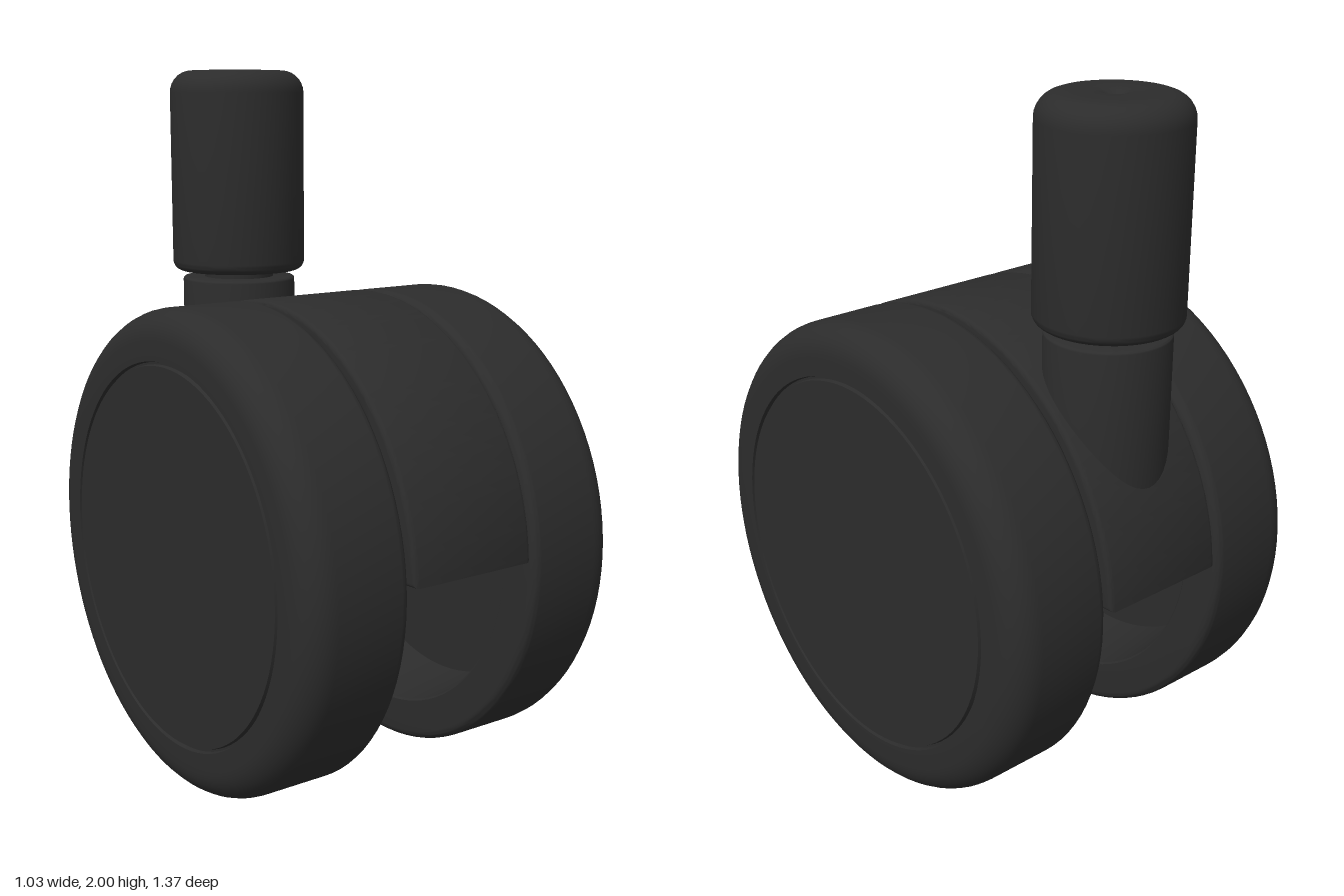
import * as THREE from 'three';
import { toCreasedNormals } from 'three/addons/utils/BufferGeometryUtils.js';

const AXLE_Y = 0.685, R = 0.683, STEM_Z = -0.44;

// points of a quarter-round corner, angles in degrees
function corner(cx, cy, r, from, to, steps = 7) {
  const pts = [];
  for (let i = 0; i <= steps; i++) {
    const a = THREE.MathUtils.degToRad(from + (to - from) * i / steps);
    pts.push([cx + r * Math.cos(a), cy + r * Math.sin(a)]);
  }
  return pts;
}

function lathe(points, segments) {
  const profile = points.map(([x, y]) => new THREE.Vector2(Math.max(x, 0), y));
  return toCreasedNormals(new THREE.LatheGeometry(profile, segments), 0.6);
}

// side profile (z, y) extruded across the width, centred on x = 0
function across(shape, width, bevel) {
  const depth = width - 2 * bevel;
  const geo = new THREE.ExtrudeGeometry(shape, {
    depth, bevelEnabled: bevel > 0, bevelSize: bevel, bevelThickness: bevel,
    bevelOffset: -bevel, bevelSegments: 3, curveSegments: 64
  });
  geo.translate(0, 0, -depth / 2);
  geo.rotateY(-Math.PI / 2);
  return toCreasedNormals(geo, 0.6);
}

export function createModel() {
  const group = new THREE.Group();
  const black = new THREE.MeshStandardMaterial({ color: 0x2c2c2c });
  black.name = 'black plastic';

  function add(name, geo, y, z = 0) {
    const mesh = new THREE.Mesh(geo, black);
    mesh.name = name;
    mesh.position.set(0, y, z);
    group.add(mesh);
    return mesh;
  }

  // wheels: hollow inside, rounded tread, grooved hub cap outside
  const wheelGeo = lathe([
    [0, 0.45], [0.53, 0.45], [0.56, 0.215],
    [0.565, 0.21],
    ...corner(R - 0.025, 0.235, 0.025, -90, 0),
    ...corner(R - 0.085, 0.43, 0.085, 0, 90),
    [0.542, 0.515], [0.539, 0.503], [0.533, 0.503], [0.53, 0.515], [0, 0.515]
  ], 96);
  for (const side of [1, -1]) {
    const wheel = add(side > 0 ? 'leftWheel' : 'rightWheel', wheelGeo, AXLE_Y);
    wheel.rotation.z = -side * Math.PI / 2;
  }

  // curved hood over the upper half of the wheels
  const hood = new THREE.Shape();
  const start = Math.asin(0.035 / R);
  hood.absarc(0, 0, R, start, Math.PI - start, false);
  hood.absarc(0, 0, R - 0.07, Math.PI - start, start, true);
  hood.closePath();
  add('hood', across(hood, 0.39, 0.012), AXLE_Y);

  // axle barrel with a web fanning up into the hood
  const barrel = new THREE.CylinderGeometry(0.115, 0.115, 0.365, 48);
  barrel.rotateZ(Math.PI / 2);
  add('axleBarrel', barrel, AXLE_Y);

  const web = new THREE.Shape();
  web.moveTo(0.115, 0);
  web.quadraticCurveTo(0.12, 0.3, 0.2, 0.6);
  web.lineTo(-0.05, 0.635);
  web.lineTo(-0.46, 0.43);
  web.quadraticCurveTo(-0.2, 0.2, -0.113, 0);
  web.closePath();
  add('supportWeb', across(web, 0.36, 0), AXLE_Y);

  // stem socket running down into the back of the hood
  add('stemSocket', lathe([
    [0, 0.95], [0.17, 0.95], ...corner(0.162, 1.377, 0.008, 0, 90, 3), [0, 1.385]
  ], 48), 0, STEM_Z);

  // narrow neck
  add('stemNeck', new THREE.CylinderGeometry(0.105, 0.105, 0.1, 48), 1.39, STEM_Z);

  // rounded stem sleeve with a small dimple on top
  add('stemSleeve', lathe([
    [0, 1.405],
    ...corner(0.17, 1.435, 0.03, -90, 0),
    ...corner(0.135, 1.933, 0.065, 0, 90),
    [0.05, 2], [0.03, 1.995], [0, 1.98]
  ], 48), 0, STEM_Z);

  return group;
}
